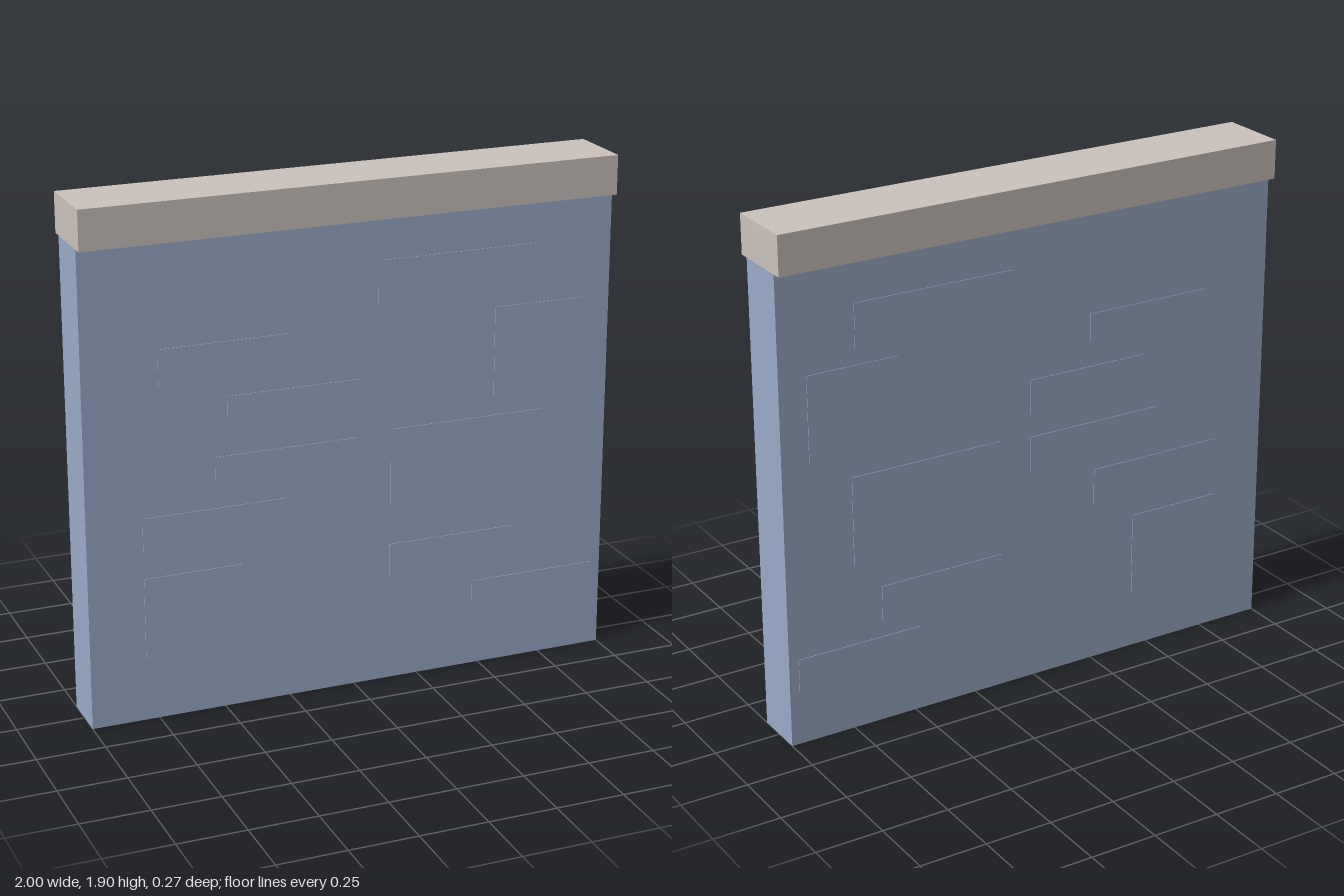
import * as THREE from 'three';

export function createModel() {
  const model = new THREE.Group();
  model.name = 'wall';

  const blue = new THREE.MeshStandardMaterial({ name: 'blueStone', color: 0x9aaac8, side: THREE.DoubleSide });
  const beige = new THREE.MeshStandardMaterial({ name: 'beigeStone', color: 0xcbc2bc });

  const HEIGHT = 1.755, TOP = 1.9, DEPTH = 0.196;

  function addPart(name, geometry, material, x, y, parent = model) {
    const mesh = new THREE.Mesh(geometry, material);
    mesh.name = name;
    mesh.position.set(x, y, 0);
    parent.add(mesh);
  }

  // hollow wall body: four sides, open at the bottom and under the cap
  const body = new THREE.BoxGeometry(2, HEIGHT, DEPTH);
  const index = Array.from(body.index.array);
  body.setIndex([...index.slice(0, 12), ...index.slice(24)]);
  body.clearGroups();
  addPart('wallBody', body, blue, 0, HEIGHT / 2);

  // cap stones along the top
  addPart('cap', new THREE.BoxGeometry(2, TOP - HEIGHT, 0.268), beige, 0, (TOP + HEIGHT) / 2);

  // bricks passing through the wall, barely proud of both faces: [left x, right x, bottom y, top y]
  const bricks = new THREE.Group();
  bricks.name = 'bricks';
  model.add(bricks);
  [
    [0.09, 0.71, 1.435, 1.6],
    [-0.725, -0.235, 1.24, 1.375],
    [0.545, 0.895, 1.04, 1.378],
    [-0.475, 0.015, 1.045, 1.175],
    [-0.525, 0.015, 0.825, 0.957],
    [0.14, 0.735, 0.635, 0.97],
    [-0.795, -0.257, 0.63, 0.767],
    [-0.795, -0.43, 0.2, 0.541],
    [0.138, 0.628, 0.398, 0.528],
    [0.472, 0.963, 0.2, 0.331],
  ].forEach(([x0, x1, y0, y1]) => {
    const box = new THREE.BoxGeometry(x1 - x0, y1 - y0, DEPTH + 0.005);
    addPart('brick', box, blue, (x0 + x1) / 2, (y0 + y1) / 2, bricks);
  });

  return model;
}
